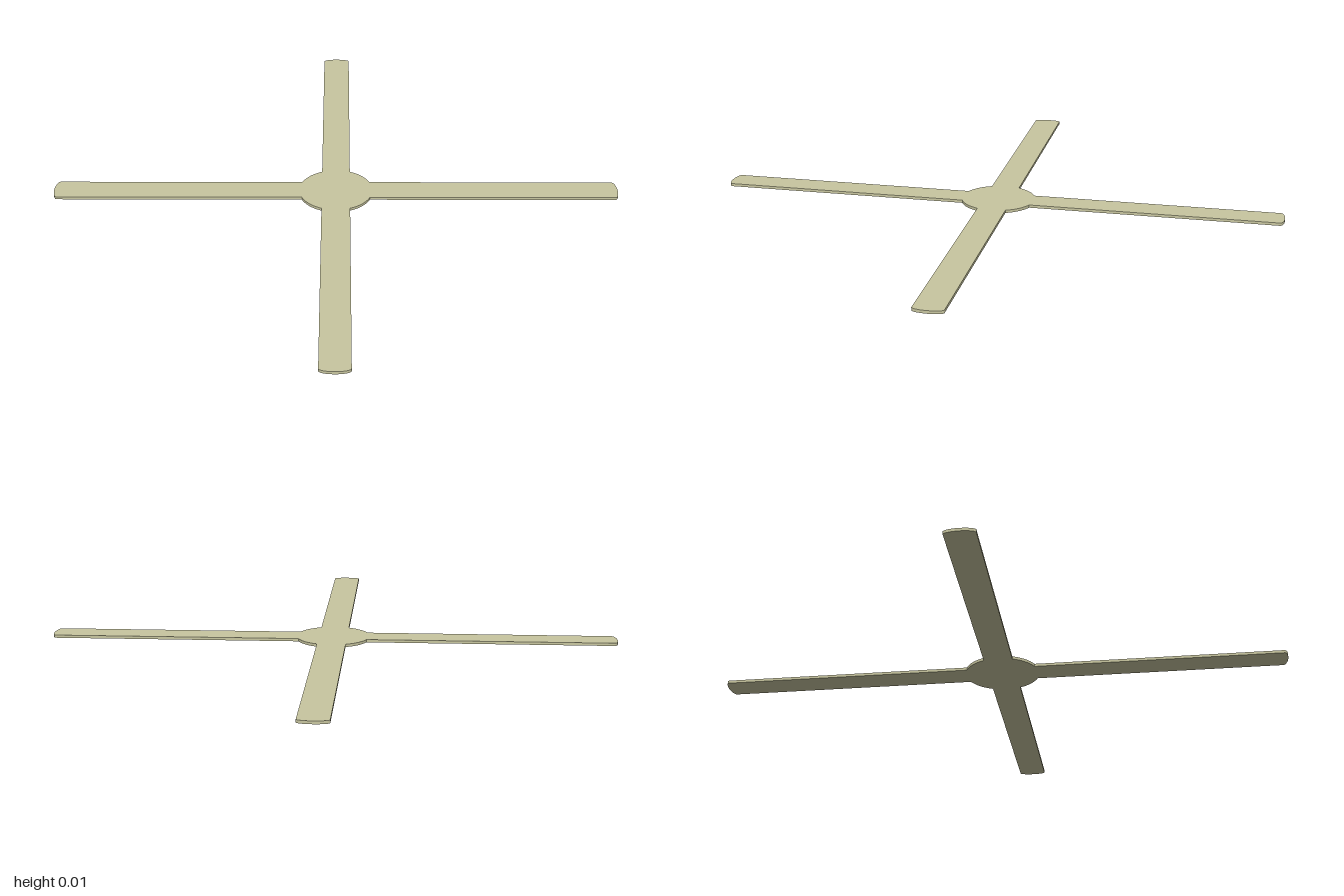
import * as THREE from 'three';

const ARM_HALF = 0.05;   // half width of an arm
const TIP_BULGE = 0.015; // how far each rounded tip bows out
const HUB_RADIUS = 0.13;
const THICKNESS = 0.01;

export function createModel() {
  const group = new THREE.Group();
  group.name = 'flatCross';

  const paleOlive = new THREE.MeshStandardMaterial({ color: 0xc8c6a0 });
  paleOlive.name = 'paleOlive';

  // One continuous outline: four bow-ended arms joined by arcs of the round hub
  const outline = new THREE.Shape();
  const joint = Math.asin(ARM_HALF / HUB_RADIUS);
  const reach = 1 - TIP_BULGE;
  for (let i = 0; i < 4; i++) {
    const a = (i * Math.PI) / 2;
    outline.absellipse(reach * Math.cos(a), reach * Math.sin(a), TIP_BULGE, ARM_HALF,
      -Math.PI / 2, Math.PI / 2, false, a);
    outline.absarc(0, 0, HUB_RADIUS, a + joint, a + Math.PI / 2 - joint, false);
  }
  outline.closePath();

  // Thin plate lying on the ground
  const geometry = new THREE.ExtrudeGeometry(outline, {
    depth: THICKNESS, bevelEnabled: false, curveSegments: 14,
  });
  geometry.rotateX(-Math.PI / 2);

  const plate = new THREE.Mesh(geometry, paleOlive);
  plate.name = 'crossPlate';
  group.add(plate);
  return group;
}
